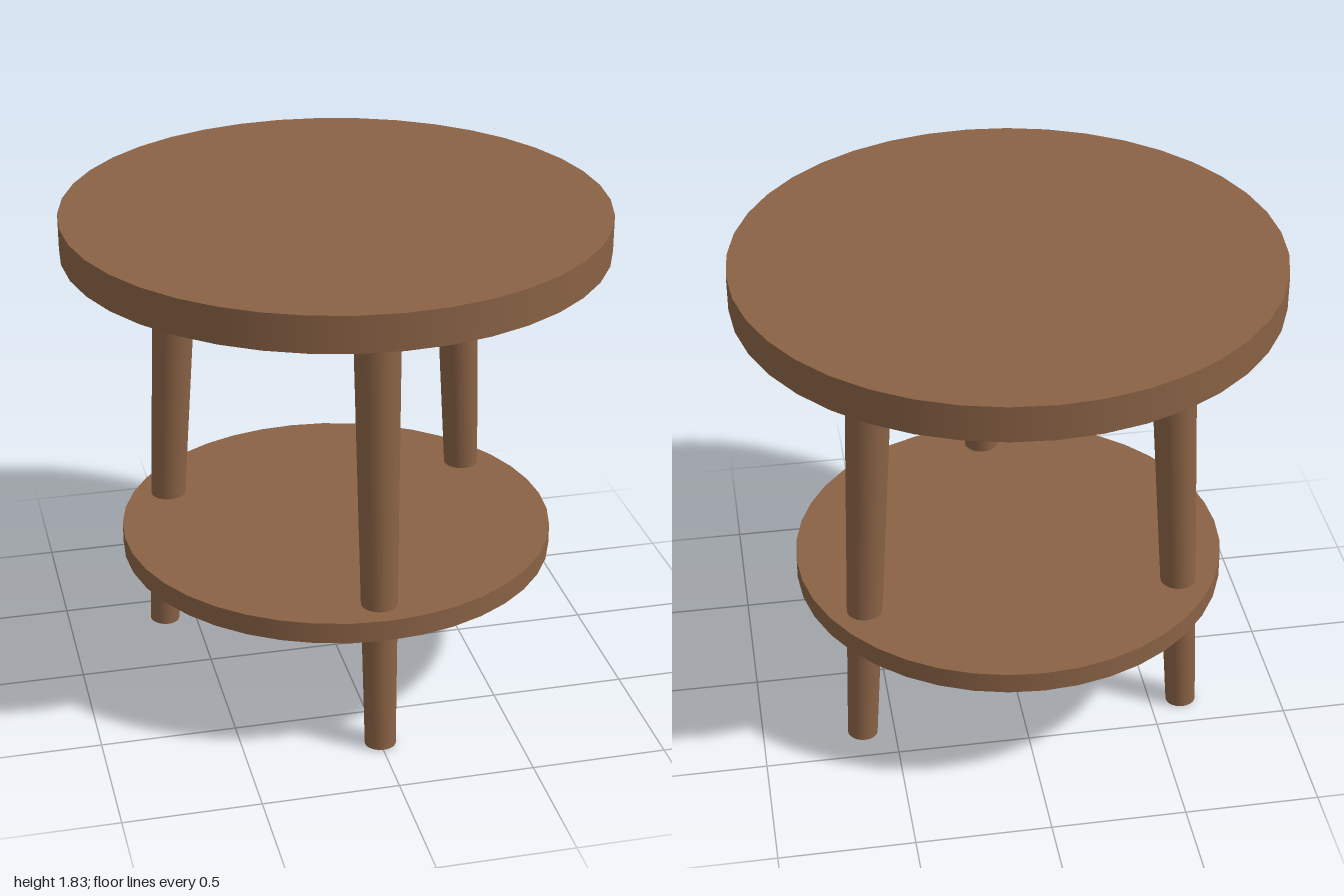
import * as THREE from 'three';

export function createModel() {
  const group = new THREE.Group();
  const wood = new THREE.MeshStandardMaterial({ color: 0x8a6245 });
  wood.name = 'brown wood';

  // Round slab between two heights
  function addDisc(name, radius, bottom, top) {
    const geometry = new THREE.CylinderGeometry(radius, radius, top - bottom, 40);
    const disc = new THREE.Mesh(geometry, wood);
    disc.name = name;
    disc.position.y = (bottom + top) / 2;
    group.add(disc);
  }
  addDisc('tableTop', 1, 1.7, 1.835);
  addDisc('lowerShelf', 0.815, 0.495, 0.575);

  // Tapered leg, leaning outwards from the table top to the floor
  function addLeg(name, angle) {
    const at = (r, y) => new THREE.Vector3(r * Math.sin(angle), y, r * Math.cos(angle));
    const foot = at(0.718, 0.004);
    const head = at(0.62, 1.71);
    const axis = head.clone().sub(foot);
    const geometry = new THREE.CylinderGeometry(0.085, 0.057, axis.length(), 24);
    const leg = new THREE.Mesh(geometry, wood);
    leg.name = name;
    leg.position.copy(foot).add(head).multiplyScalar(0.5);
    leg.quaternion.setFromUnitVectors(new THREE.Vector3(0, 1, 0), axis.normalize());
    group.add(leg);
  }
  ['frontLeg', 'backLeftLeg', 'backRightLeg'].forEach((name, i) => addLeg(name, (i * Math.PI * 2) / 3));

  return group;
}
